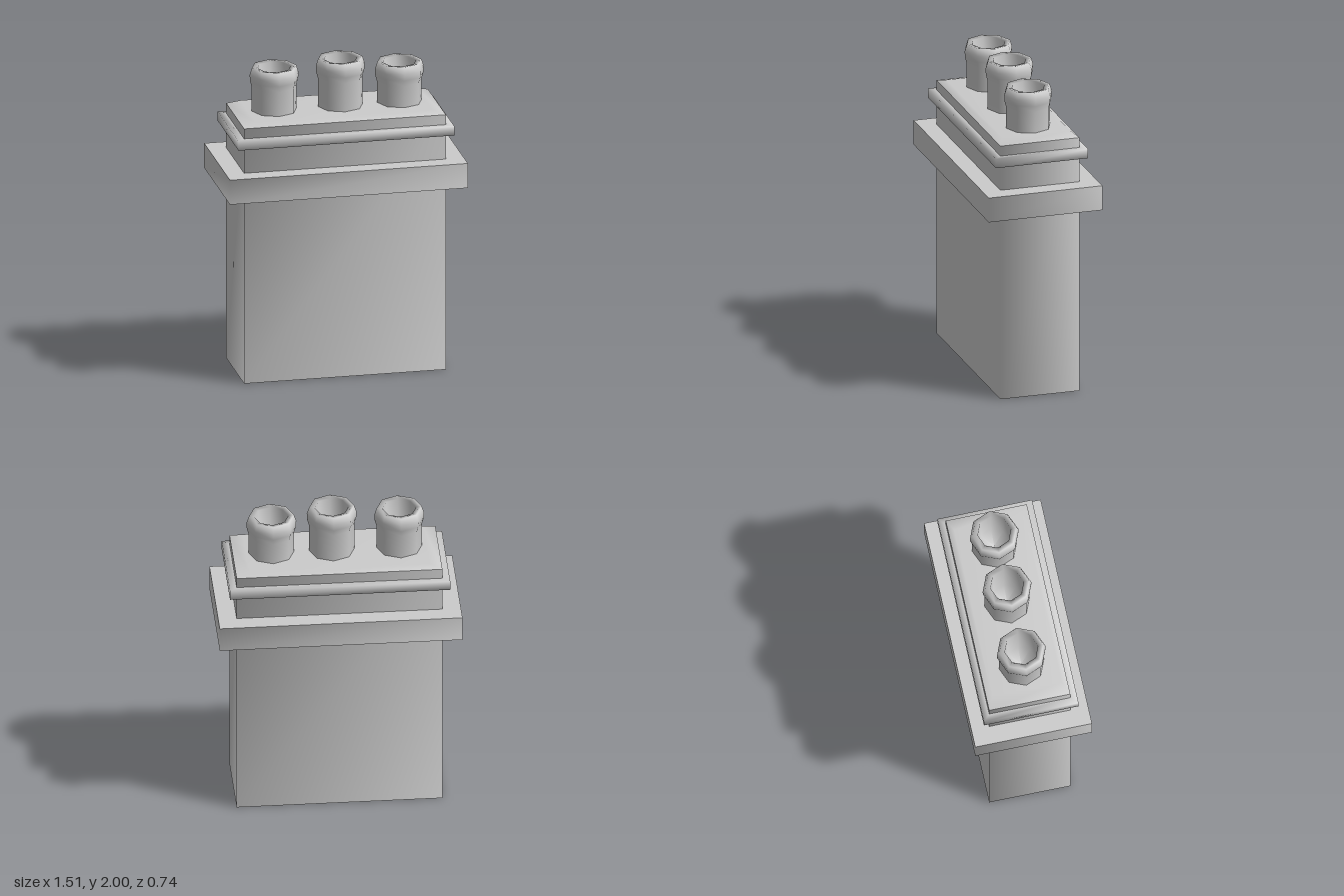
import * as THREE from 'three';

const material = new THREE.MeshStandardMaterial({ color: 0xcccccc, side: THREE.DoubleSide });

// Skin rectangular sections [halfWidth, halfDepth, y]; shared corners shade smoothly.
function rectLoft(sections, capTop = false) {
  const positions = [];
  const index = [];
  for (const [w, d, y] of sections) {
    positions.push(w, y, d, w, y, -d, -w, y, -d, -w, y, d);
  }
  for (let i = 0; i < sections.length - 1; i++) {
    for (let j = 0; j < 4; j++) {
      const a = i * 4 + j;
      const b = i * 4 + (j + 1) % 4;
      index.push(a, b, b + 4, a, b + 4, a + 4);
    }
  }
  if (capTop) {
    const t = (sections.length - 1) * 4;
    index.push(t, t + 1, t + 2, t, t + 2, t + 3);
  }
  const geometry = new THREE.BufferGeometry();
  geometry.setAttribute('position', new THREE.Float32BufferAttribute(positions, 3));
  geometry.setIndex(index);
  geometry.computeVertexNormals();
  return geometry;
}

// Eight-sided hose nozzle with a flared lip and a hollow bore.
function nozzleGeometry(top) {
  const profile = [
    [0.142, 1.685], [0.142, top - 0.125], [0.153, top - 0.085], [0.155, top - 0.045],
    [0.14, top], [0.105, top - 0.005], [0.1, 1.73], [0, 1.7],
  ];
  return new THREE.LatheGeometry(profile.map(([r, y]) => new THREE.Vector2(r, y)), 8);
}

export function createModel() {
  const group = new THREE.Group();
  const add = (name, geometry, parent = group) => {
    const mesh = new THREE.Mesh(geometry, material);
    mesh.name = name;
    parent.add(mesh);
    return mesh;
  };

  const W = 0.64, D = 0.257;

  // Housing shell, open underneath, with a bevelled lid
  add('housing', rectLoft([[W, D, 0], [W, D, 1.665]]));
  add('lid', rectLoft([[W, D, 1.665], [0.56, 0.22, 1.69]], true));

  // Flat mounting collar: crisp top and bottom, wrapped sides
  const collar = new THREE.Group();
  collar.name = 'collar';
  group.add(collar);
  const CW = 0.755, CD = 0.37, low = 1.215, high = 1.375;
  add('collarUnderside', rectLoft([[W, D, low], [CW, CD, low]]), collar);
  add('collarSides', rectLoft([[CW, CD, low], [CW, CD, high]]), collar);
  add('collarTop', rectLoft([[CW, CD, high], [W, D, high]]), collar);

  // Soft-shaded sealing ring
  add('sealingRing', rectLoft([
    [W, D, 1.54], [0.685, 0.3, 1.54], [0.685, 0.3, 1.6], [W, D, 1.6],
  ]));

  // Three nozzles of different heights: [x, top]
  [[-0.393, 1.972], [0.027, 2], [0.402, 1.953]].forEach(([x, top], i) => {
    add(`nozzle${i + 1}`, nozzleGeometry(top)).position.x = x;
  });

  return group;
}
